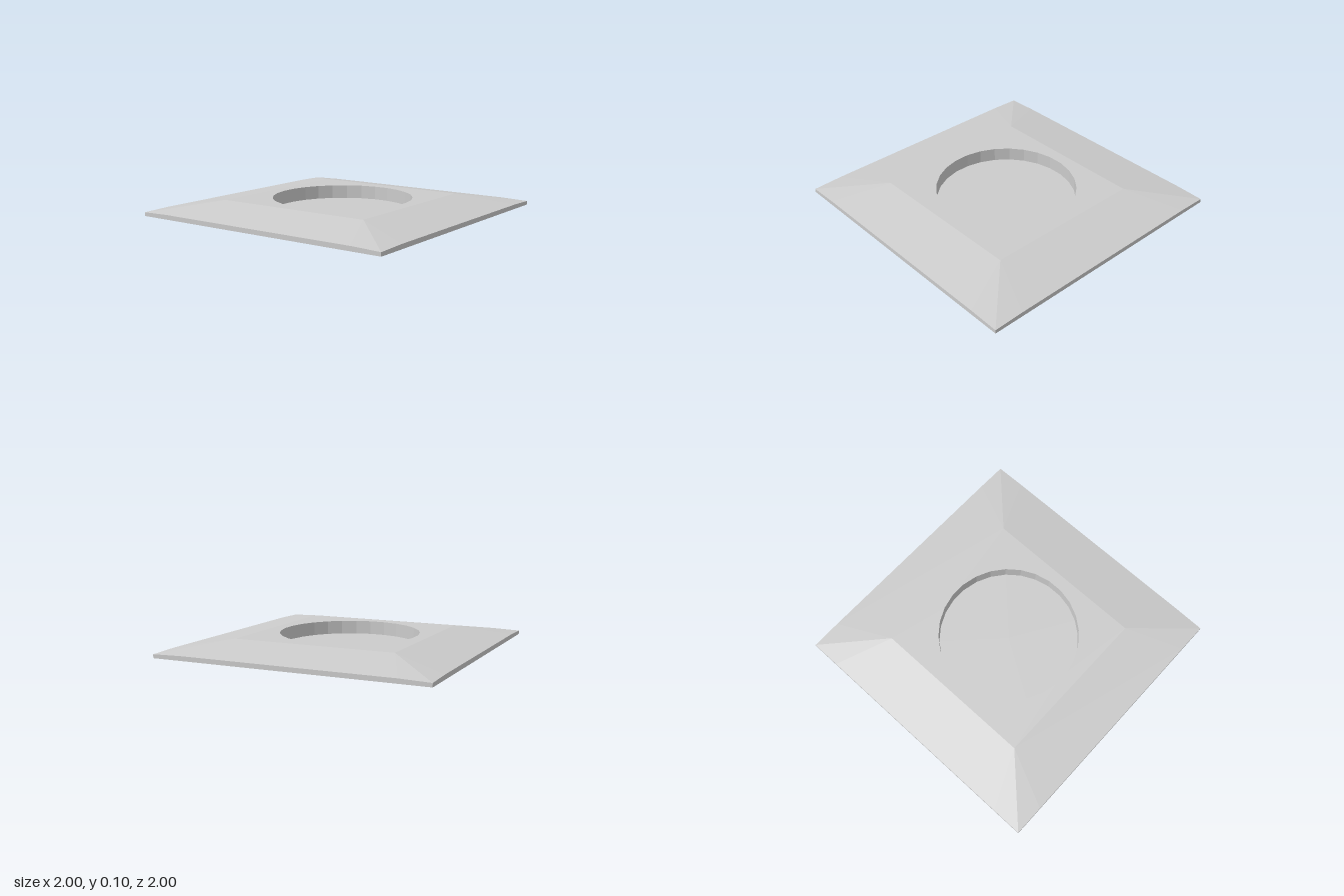
import * as THREE from 'three';

const SIDES = 28, RADIUS = 0.51, TOP = 0.1, INNER = 0.6, INSET = 0.78, RIM = 0.033, CORNER = 0.027;

const material = new THREE.MeshStandardMaterial({
  color: 0xcccccc, flatShading: true, side: THREE.DoubleSide,
});

// Repeat the points of one corner around all four corners
function squareLoop(points) {
  const loop = [];
  for (let k = 0; k < 4; k++) {
    for (const [x, y, z] of points) {
      loop.push(new THREE.Vector3(x, y, z).applyAxisAngle(new THREE.Vector3(0, 1, 0), k * Math.PI / 2));
    }
  }
  return loop;
}

// Band of faces between two loops, leaving out collapsed triangles
function loft(lower, upper) {
  const points = [], n = lower.length;
  for (let i = 0; i < n; i++) {
    const j = (i + 1) % n;
    points.push(lower[i], lower[j], upper[i]);
    if (upper[i].distanceTo(upper[j]) > 1e-4) points.push(lower[j], upper[j], upper[i]);
  }
  const geometry = new THREE.BufferGeometry().setFromPoints(points);
  geometry.computeVertexNormals();
  return geometry;
}

export function createModel() {
  const group = new THREE.Group();
  group.name = 'recessedPlate';
  const add = (name, geometry) => {
    const mesh = new THREE.Mesh(geometry, material);
    mesh.name = name;
    group.add(mesh);
  };

  const base = squareLoop([[INSET, 0, 1], [1, 0, 1], [1, 0, INSET]]);
  const rim = squareLoop([[INSET, RIM, 1], [1, CORNER, 1], [1, RIM, INSET]]);
  const crest = squareLoop(Array(3).fill([INNER, TOP, INNER]));

  // Thin upright edge and the slopes with their folded corners
  add('outerRim', loft(base, rim));
  add('slopes', loft(rim, crest));

  // Flat top with the round opening
  const shape = new THREE.Shape([[1, 1], [-1, 1], [-1, -1], [1, -1]]
    .map(([x, y]) => new THREE.Vector2(x * INNER, y * INNER)));
  const circle = [];
  for (let i = 0; i < SIDES; i++) {
    const a = (i + 0.5) * 2 * Math.PI / SIDES;
    circle.push(new THREE.Vector2(RADIUS * Math.cos(a), RADIUS * Math.sin(a)));
  }
  shape.holes.push(new THREE.Path(circle));
  add('topPlate', new THREE.ShapeGeometry(shape).rotateX(-Math.PI / 2).translate(0, TOP, 0));

  // Sunken round well: wall and floor
  const start = Math.PI / SIDES;
  add('wellWall', new THREE.CylinderGeometry(RADIUS, RADIUS, TOP, SIDES, 1, true, start).translate(0, TOP / 2, 0));
  add('wellFloor', new THREE.CircleGeometry(RADIUS, SIDES, start).rotateX(-Math.PI / 2));

  return group;
}
